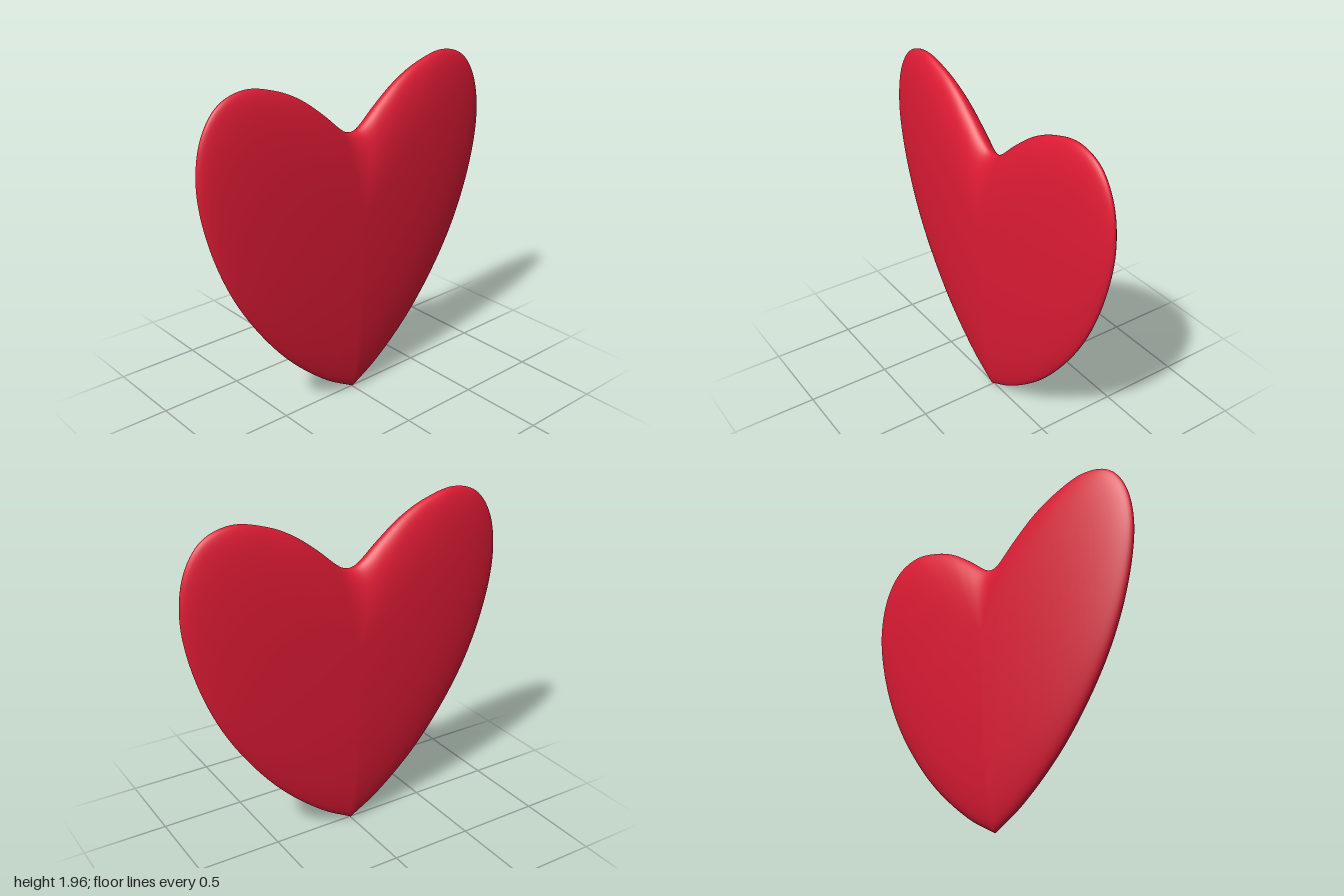
import * as THREE from 'three';

const CENTRE_Y = 1.15;   // height of the thickest point
const HALF_DEPTH = 0.112;
const AROUND = 240;
const RINGS = 48;

// Right half of the outline, from the bottom tip up over the lobe to the notch
const HALF = [
  [0, 0], [0.2, 0.12], [0.5, 0.39], [0.79, 0.8], [0.95, 1.2], [1, 1.53],
  [0.955, 1.77], [0.85, 1.91], [0.69, 1.96], [0.5, 1.92], [0.35, 1.85],
  [0.2, 1.74], [0.09, 1.645], [0.045, 1.615],
];

function heartOutline() {
  const right = HALF.map(([x, y]) => new THREE.Vector3(x, y, 0));
  const left = HALF.map(([x, y]) => new THREE.Vector3(-x, y, 0)).reverse();
  const curve = new THREE.CatmullRomCurve3([...right, new THREE.Vector3(0, 1.605, 0), ...left]);
  curve.arcLengthDivisions = 1000;
  return curve.getSpacedPoints(AROUND).slice(0, AROUND);
}

// Outline scaled about its centre in rings, with an elliptical bulge in depth
function pillowGeometry(outline) {
  const positions = [0, CENTRE_Y, HALF_DEPTH];
  const index = [];
  const id = (ring, j) => 1 + (ring - 1) * AROUND + (j % AROUND);
  for (let i = 1; i < RINGS; i++) {
    const v = (i / RINGS) * Math.PI;
    const s = Math.sin(v);
    for (const p of outline) {
      positions.push(p.x * s, CENTRE_Y + (p.y - CENTRE_Y) * s, HALF_DEPTH * Math.cos(v));
    }
  }
  const back = positions.length / 3;
  positions.push(0, CENTRE_Y, -HALF_DEPTH);
  for (let j = 0; j < AROUND; j++) {
    index.push(0, id(1, j), id(1, j + 1));
    for (let i = 1; i < RINGS - 1; i++) {
      const a = id(i, j), b = id(i + 1, j), c = id(i + 1, j + 1), d = id(i, j + 1);
      index.push(a, b, c, a, c, d);
    }
    index.push(id(RINGS - 1, j), back, id(RINGS - 1, j + 1));
  }
  const geometry = new THREE.BufferGeometry();
  geometry.setAttribute('position', new THREE.Float32BufferAttribute(positions, 3));
  geometry.setIndex(index);
  geometry.computeVertexNormals();
  return geometry;
}

export function createModel() {
  const group = new THREE.Group();
  group.name = 'heart';
  const body = new THREE.Mesh(
    pillowGeometry(heartOutline()),
    new THREE.MeshStandardMaterial({ color: 0xe01b35 }),
  );
  body.name = 'heartBody';
  group.add(body);
  return group;
}
